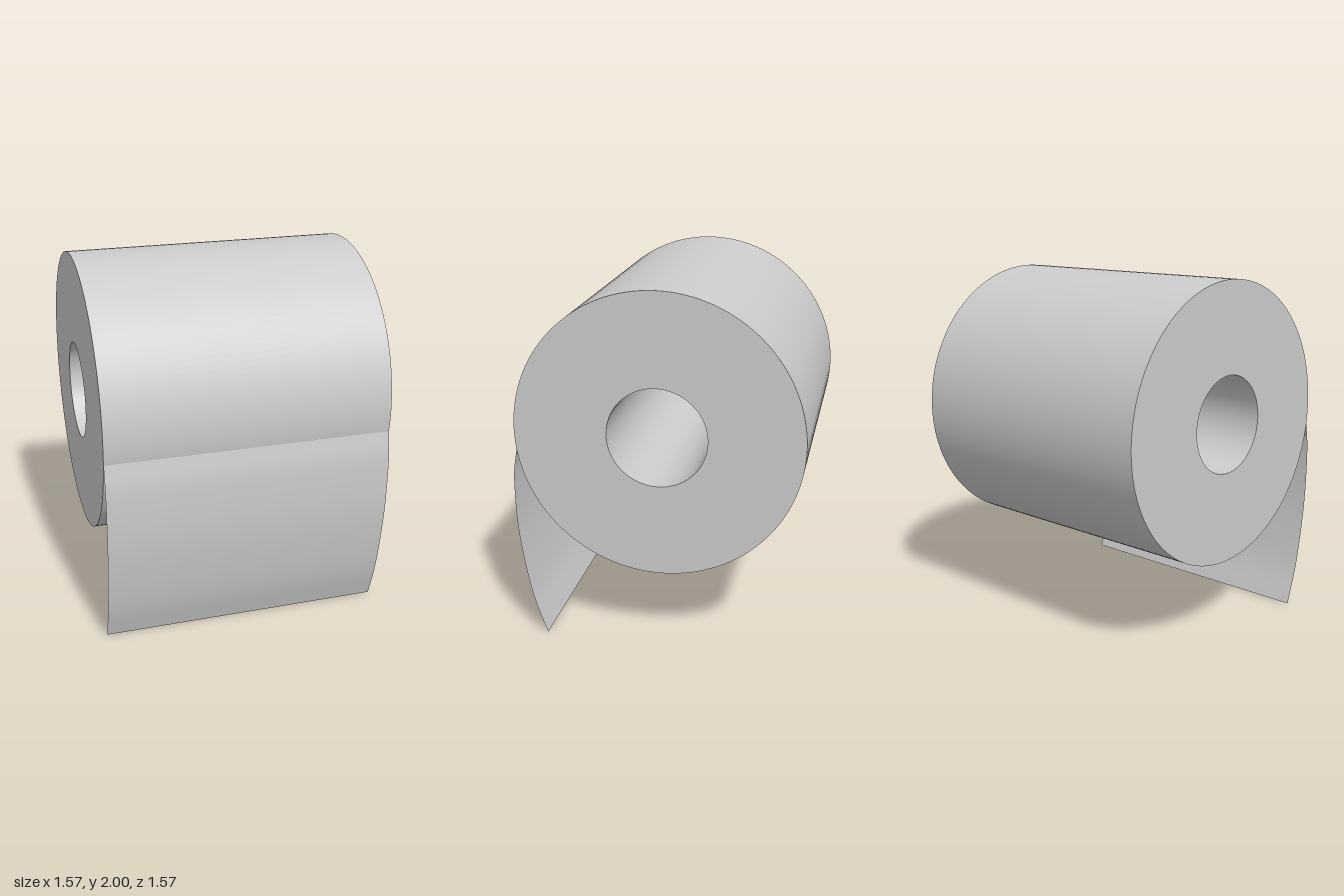
import * as THREE from 'three';
import { mergeGeometries } from 'three/addons/utils/BufferGeometryUtils.js';

const HALF_WIDTH = 0.787;
const OUTER = 0.777;
const INNER = 0.27;
const CENTRE_Y = 1.223;
const CENTRE_Z = -0.005;

// Hollow roll: each straight profile edge is turned separately to keep the rims sharp
function rollGeometry() {
  const corners = [
    [OUTER, -HALF_WIDTH], [OUTER, HALF_WIDTH], [INNER, HALF_WIDTH], [INNER, -HALF_WIDTH],
  ].map(([r, y]) => new THREE.Vector2(r, y));
  const bands = corners.map((p, i) => new THREE.LatheGeometry([p, corners[(i + 1) % 4]], 128));
  return mergeGeometries(bands).rotateZ(-Math.PI / 2);
}

// Hanging sheet: a plane bent along a curve in the y-z plane
function sheetGeometry() {
  const curve = new THREE.CatmullRomCurve3([
    [1.1, 0.764], [0.98, 0.784], [0.85, 0.788], [0.65, 0.781], [0.43, 0.753], [0.2, 0.706], [0, 0.639],
  ].map(([y, z]) => new THREE.Vector3(0, y, z)));
  const geometry = new THREE.PlaneGeometry(2 * HALF_WIDTH, 1, 1, 40);
  const { position, uv } = geometry.attributes;
  for (let i = 0; i < position.count; i++) {
    const p = curve.getPoint(1 - uv.getY(i));
    position.setXYZ(i, position.getX(i), p.y, p.z);
  }
  geometry.computeVertexNormals();
  return geometry;
}

export function createModel() {
  const model = new THREE.Group();
  model.name = 'paperRoll';

  const roll = new THREE.Mesh(rollGeometry(), new THREE.MeshStandardMaterial({ color: 0xcccccc }));
  roll.name = 'roll';
  roll.position.set(0, CENTRE_Y, CENTRE_Z);

  const sheet = new THREE.Mesh(
    sheetGeometry(),
    new THREE.MeshStandardMaterial({ color: 0xcccccc, side: THREE.DoubleSide }),
  );
  sheet.name = 'hangingSheet';

  model.add(roll, sheet);
  return model;
}
